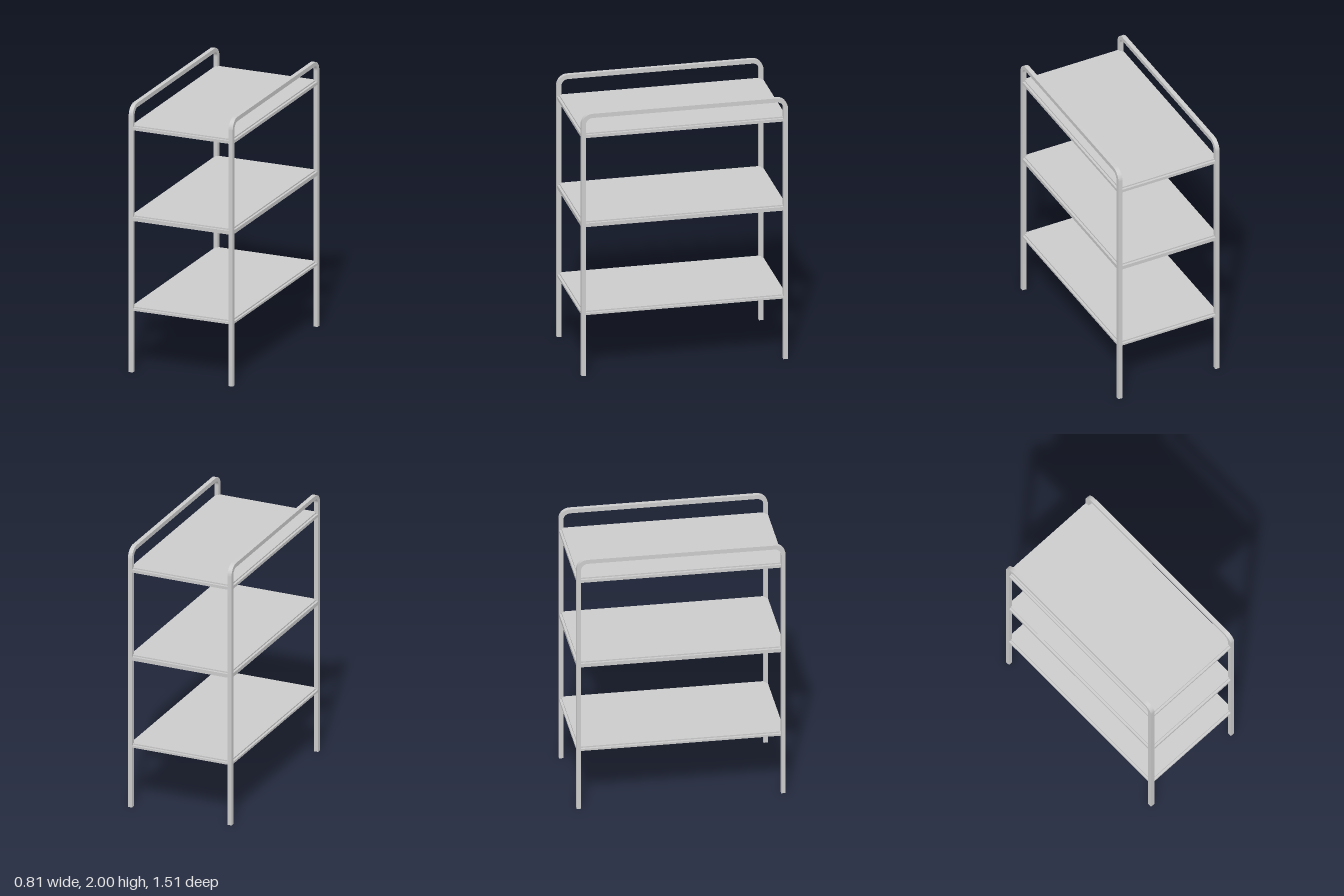
import * as THREE from 'three';
import { toCreasedNormals } from 'three/addons/utils/BufferGeometryUtils.js';

const X = 0.406, Z = 0.754, T = 0.032, H = 2, R = 0.08; // half width, half depth, bar, height, bend radius

export function createModel() {
  const group = new THREE.Group();
  const material = new THREE.MeshStandardMaterial({ color: 0xcccccc });

  const add = (name, geometry, x, y, z) => {
    const mesh = new THREE.Mesh(geometry, material);
    mesh.name = name;
    mesh.position.set(x, y, z);
    group.add(mesh);
    return mesh;
  };

  // Square bar bent into an upside-down U: two legs and the top handle
  const zi = Z - T, ri = R - T;
  const shape = new THREE.Shape();
  shape.moveTo(-Z, 0);
  shape.lineTo(-zi, 0);
  shape.lineTo(-zi, H - R);
  shape.absarc(-Z + R, H - R, ri, Math.PI, Math.PI / 2, true);
  shape.lineTo(Z - R, H - T);
  shape.absarc(Z - R, H - R, ri, Math.PI / 2, 0, true);
  shape.lineTo(zi, 0);
  shape.lineTo(Z, 0);
  shape.lineTo(Z, H - R);
  shape.absarc(Z - R, H - R, R, 0, Math.PI / 2, false);
  shape.lineTo(-Z + R, H);
  shape.absarc(-Z + R, H - R, R, Math.PI / 2, Math.PI, false);
  shape.lineTo(-Z, 0);
  const bent = new THREE.ExtrudeGeometry(shape, { depth: T, bevelEnabled: false, curveSegments: 10 });
  bent.translate(0, 0, -T / 2).rotateY(Math.PI / 2);
  const frame = toCreasedNormals(bent, Math.PI / 6);
  for (const s of [1, -1]) add(s > 0 ? 'leftSideFrame' : 'rightSideFrame', frame, s * (X - T / 2), 0, 0);

  // Shelves: a thin panel resting on a rail frame between the legs
  const shelves = [
    { name: 'bottomShelf', top: 0.49, rail: 0.016 },
    { name: 'middleShelf', top: 1.175, rail: 0.028 },
    { name: 'topShelf', top: 1.85, rail: 0.022 },
  ];
  const panel = 0.01, railWidth = 0.03;
  for (const { name, top, rail } of shelves) {
    add(name + 'Panel', new THREE.BoxGeometry(2 * (X - 0.018), panel, 2 * (Z - 0.018)), 0, top - panel / 2, 0);
    const y = top - panel - rail / 2;
    for (const s of [1, -1]) {
      add(name + (s > 0 ? 'FrontRail' : 'BackRail'),
        new THREE.BoxGeometry(2 * (X - T), rail, railWidth), 0, y, s * (Z - T / 2));
      add(name + (s > 0 ? 'LeftRail' : 'RightRail'),
        new THREE.BoxGeometry(railWidth, rail, 2 * zi), s * (X - T / 2), y, 0);
    }
  }
  return group;
}
